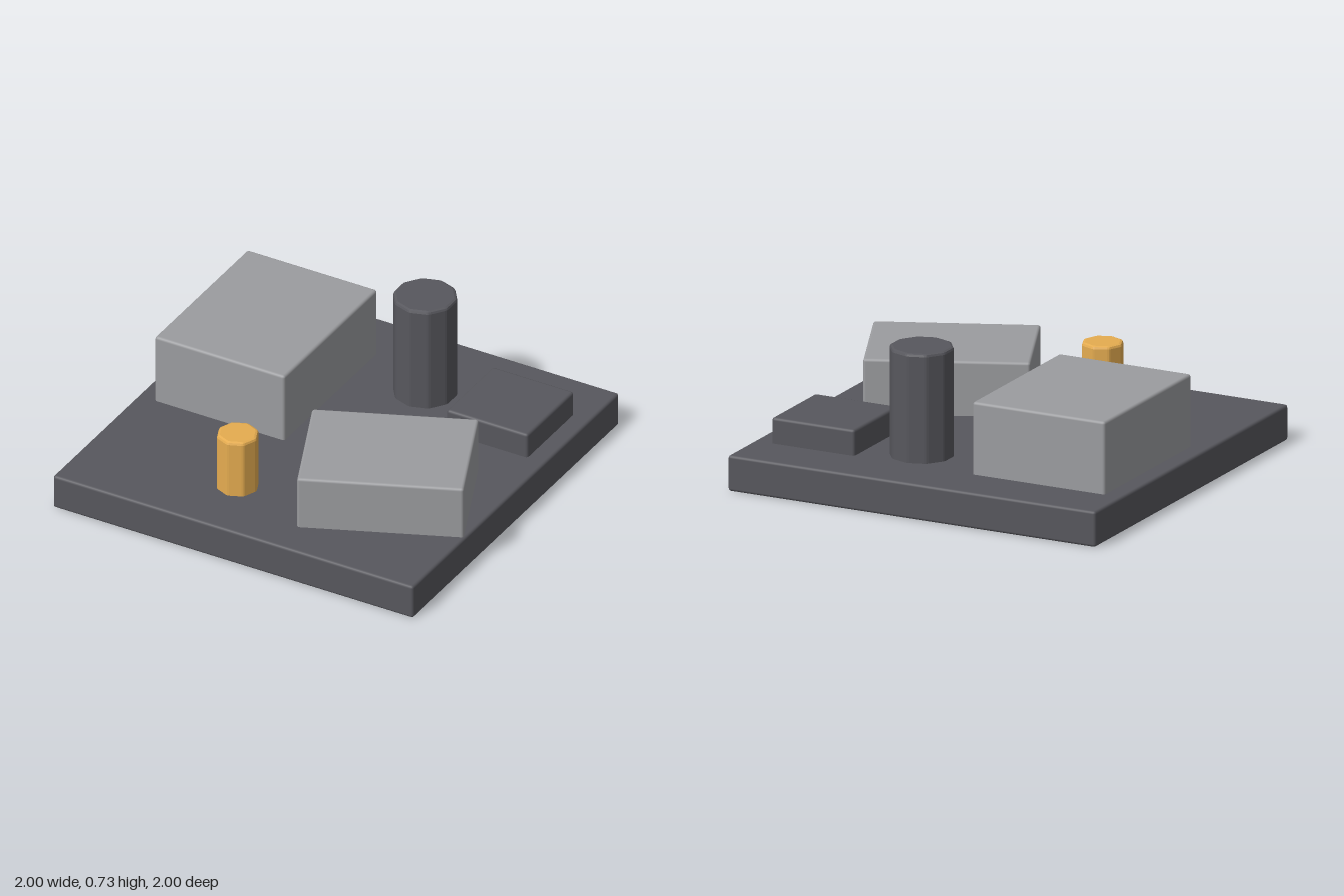
import * as THREE from 'three';
import { RoundedBoxGeometry } from 'three/addons/geometries/RoundedBoxGeometry.js';

const BEVEL = 0.014;
const DECK = 0.18; // top of the base slab
const SINK = 0.03; // how far parts are set into the slab

const mat = (color) => new THREE.MeshStandardMaterial({ color });
const dark = mat(0x57575d);
const grey = mat(0x9b9c9f);
const gold = mat(0xe5ac50);

// Softly bevelled block from bottom to top, centred on (x, z)
function block(name, material, w, d, x, z, bottom, top, turn = 0) {
  const h = top - bottom;
  const mesh = new THREE.Mesh(new RoundedBoxGeometry(w, h, d, 2, BEVEL), material);
  mesh.position.set(x, bottom + h / 2, z);
  mesh.rotation.y = turn;
  mesh.name = name;
  return mesh;
}

// Faceted post with a corner at +z, softened corners and a bevelled rim
function post(name, material, sides, r, x, z, bottom, top) {
  const corner = (i) => {
    const a = (i / sides) * Math.PI * 2 + Math.PI / 2;
    return new THREE.Vector2(Math.cos(a) * r, Math.sin(a) * r);
  };
  const shape = new THREE.Shape();
  for (let i = 0; i < sides; i++) {
    const c = corner(i);
    const start = c.clone().lerp(corner(i - 1), 0.12);
    const end = c.clone().lerp(corner(i + 1), 0.12);
    if (i === 0) shape.moveTo(start.x, start.y);
    else shape.lineTo(start.x, start.y);
    shape.quadraticCurveTo(c.x, c.y, end.x, end.y);
  }
  shape.closePath();
  const geometry = new THREE.ExtrudeGeometry(shape, {
    depth: top - bottom - 2 * BEVEL,
    curveSegments: 2,
    bevelSize: BEVEL,
    bevelThickness: BEVEL,
    bevelOffset: -BEVEL,
    bevelSegments: 2,
  });
  geometry.rotateX(-Math.PI / 2);
  const mesh = new THREE.Mesh(geometry, material);
  mesh.position.set(x, bottom + BEVEL, z);
  mesh.name = name;
  return mesh;
}

export function createModel() {
  const group = new THREE.Group();
  group.name = 'blockBoard';
  const low = DECK - SINK;
  group.add(
    // Base slab
    block('base', dark, 2, 2, 0, 0, 0, DECK),
    // Blocks standing on the slab
    block('largeBlock', grey, 0.72, 0.9, -0.548, -0.277, low, 0.545),
    block('turnedBlock', grey, 0.81, 0.635, 0.495, 0.36, low, 0.455, 0.405),
    block('lowBlock', dark, 0.45, 0.45, 0.68, -0.502, low, 0.31),
    // Posts
    post('tallPost', dark, 10, 0.16, 0.18, -0.55, low, 0.73),
    post('goldPost', gold, 8, 0.105, -0.184, 0.63, low, 0.483),
  );
  return group;
}
